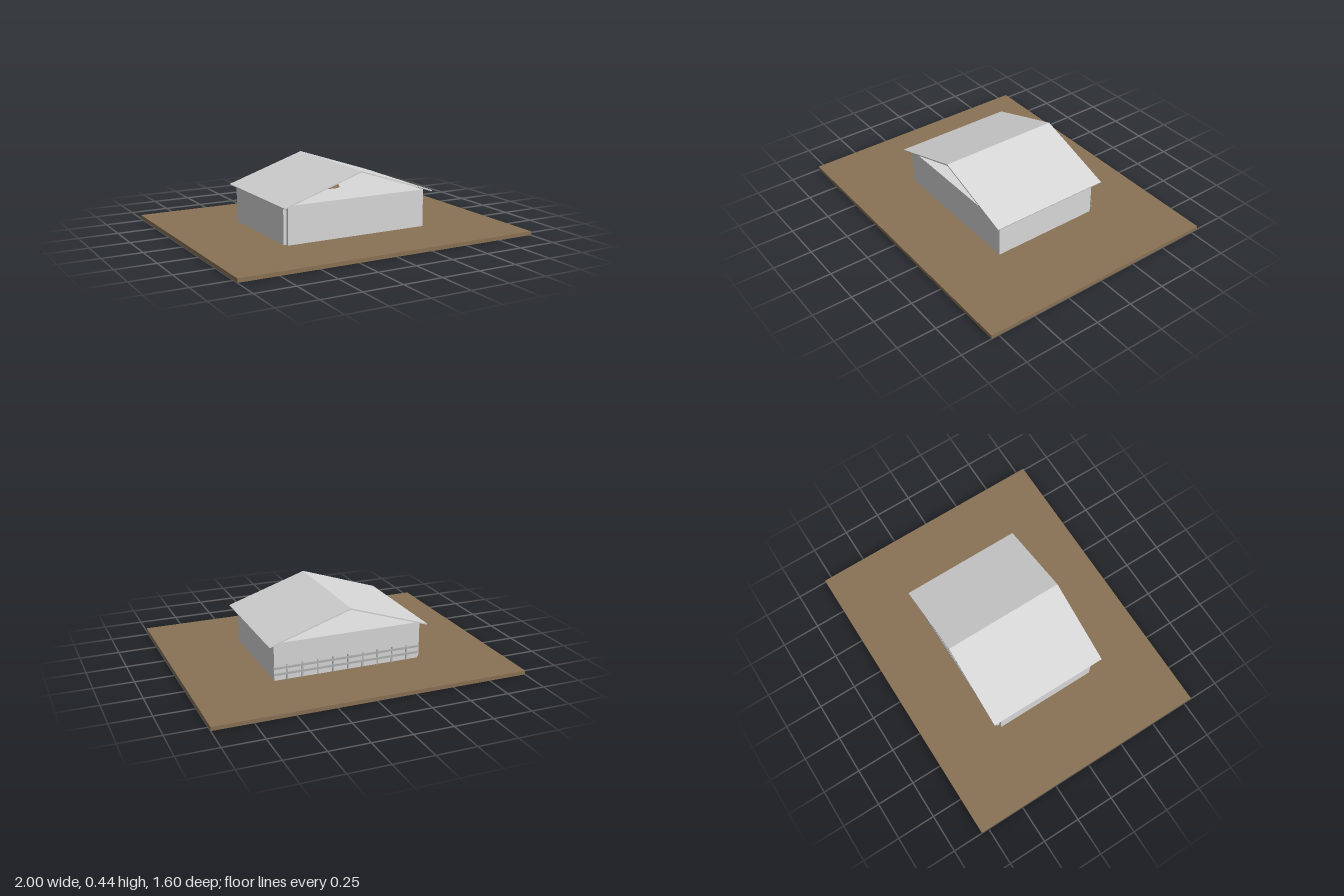
import * as THREE from 'three';

const mat = (name, color) => {
  const m = new THREE.MeshStandardMaterial({ color });
  m.name = name;
  return m;
};

export function createModel() {
  const model = new THREE.Group();
  model.name = 'barn';
  const earth = mat('earth brown', 0x8b7355);
  const wall = mat('wall grey', 0xdadada);
  const roofGrey = mat('roof grey', 0xd6d6d6);
  const railGrey = mat('rail grey', 0xb4b4b4);

  const add = (name, geometry, material, x = 0, y = 0, z = 0, parent = model) => {
    const mesh = new THREE.Mesh(geometry, material);
    mesh.name = name;
    mesh.position.set(x, y, z);
    parent.add(mesh);
    return mesh;
  };
  const box = (name, material, w, h, d, x, y, z, parent) =>
    add(name, new THREE.BoxGeometry(w, h, d), material, x, y, z, parent);

  // Ground slab
  box('ground', earth, 2, 0.025, 1.6, 0, 0.0125, 0);

  // Four wall panels; the one on the right side stands proud of the corners
  const wallH = 0.225, wallY = 0.025 + wallH / 2;
  box('frontWall', wall, 0.96, wallH, 0.02, 0, wallY, 0.35);
  box('backWall', wall, 0.96, wallH, 0.02, 0, wallY, -0.35);
  box('leftWall', wall, 0.02, wallH, 0.68, 0.47, wallY, 0);
  box('rightWall', wall, 0.02, wallH, 0.68, -0.49, wallY, 0);

  // Flat ceiling beneath the open gables
  box('ceiling', wall, 0.96, 0.015, 0.72, 0, 0.2575, 0);

  // Pile whose tip rises above the ceiling
  add('pile', new THREE.CylinderGeometry(0.01, 0.175, 0.36, 24), earth, 0, 0.205, 0);

  // Thin gabled roof
  const chevron = new THREE.Shape([
    [-0.52, 0.256], [0, 0.427], [0.52, 0.256],
    [0.522, 0.263], [0, 0.436], [-0.522, 0.263],
  ].map(([x, y]) => new THREE.Vector2(x, y)));
  const roof = new THREE.ExtrudeGeometry(chevron, { depth: 0.8, bevelEnabled: false });
  add('roof', roof, roofGrey, 0, 0, -0.4);

  // Low railing along the back wall
  const railing = new THREE.Group();
  railing.name = 'railing';
  model.add(railing);
  for (const y of [0.065, 0.105]) {
    box('rail', railGrey, 0.966, 0.014, 0.008, 0.002, y, -0.363, railing);
  }
  for (let i = -4; i <= 4; i++) {
    box('post', railGrey, 0.01, 0.1, 0.006, i * 0.1, 0.075, -0.362, railing);
  }
  return model;
}
